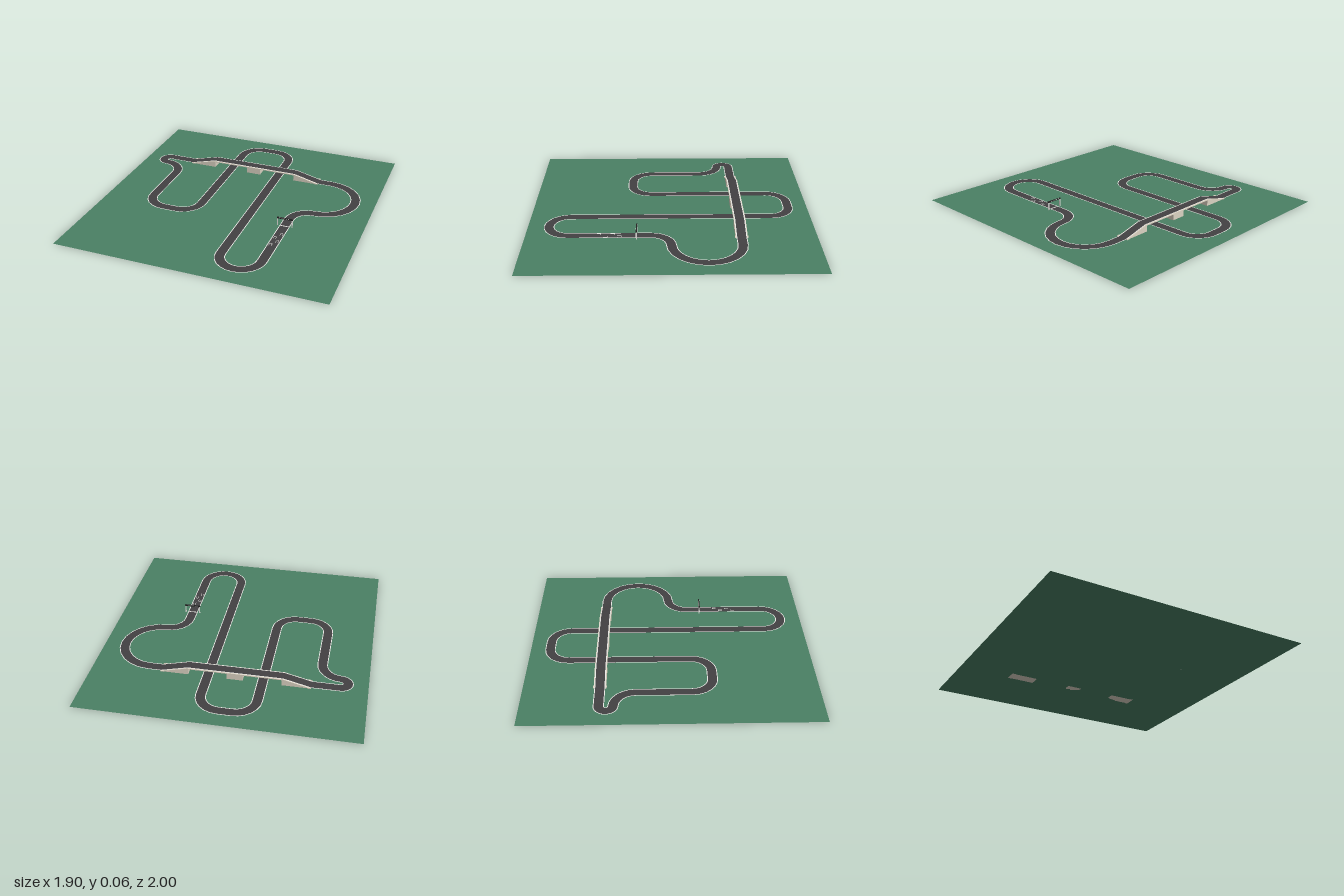
import * as THREE from 'three';

const mat = (color, side = THREE.FrontSide) => new THREE.MeshStandardMaterial({ color, side });
const GREEN = mat(0x4a8064, THREE.DoubleSide);
const ASPHALT = mat(0x434143, THREE.DoubleSide);
const WHITE = mat(0xe8e8e4, THREE.DoubleSide);
const STONE = mat(0xdcd3c3);
const DARK = mat(0x222222);

const HALF = 0.037;          // half road width, edge lines included
const BRIDGE_Z = -0.48;
const ramp = [-0.57, -0.38, 0.28, 0.47];
const DECK = 0.048;

// Centre line: arcs joined by straights, each point with its left-hand normal
function centreLine() {
  const pts = [];
  const arc = (cx, cz, r, from, to) => {
    const n = Math.ceil(Math.abs(to - from) * 12), s = Math.sign(to - from);
    for (let i = 0; i <= n; i++) {
      const a = Math.PI * (from + (to - from) * i / n);
      const c = Math.cos(a), d = Math.sin(a);
      pts.push({ x: cx + r * c, z: cz + r * d, y: 0, nx: s * c, nz: s * d });
    }
  };
  arc(0.2825, 0.71, 0.1425, 0, 1);
  arc(0, -0.72, 0.14, 0, -0.5);
  arc(-0.1, -0.72, 0.14, -0.5, -1);
  arc(-0.38, 0.145, 0.14, 0, 0.5);
  arc(-0.48, 0.145, 0.14, 0.5, 1);
  arc(-0.765, -0.24, 0.145, 0, -0.5);
  arc(-0.765, -0.4325, 0.0475, 0.5, 1.5);
  ramp.forEach((x, i) => pts.push({ x, z: BRIDGE_Z, y: i % 3 ? DECK : 0, nx: 0, nz: -1 }));
  arc(0.565, -0.24, 0.24, -0.5, 0.5);
  arc(0.565, 0.14, 0.14, -0.5, -1);
  pts.push(pts[0]);
  return pts;
}

// Flat strip along the centre line between two sideways offsets
function ribbon(pts, left, right, lift) {
  const pos = [], index = [];
  pts.forEach((p, i) => {
    for (const o of [left, right]) pos.push(p.x + p.nx * o, p.y + lift, p.z + p.nz * o);
    if (i) {
      const a = 2 * i - 2;
      index.push(a, a + 1, a + 3, a, a + 3, a + 2);
    }
  });
  const g = new THREE.BufferGeometry();
  g.setAttribute('position', new THREE.Float32BufferAttribute(pos, 3));
  g.setIndex(index);
  g.computeVertexNormals();
  return g;
}

export function createModel() {
  const model = new THREE.Group();
  model.name = 'raceTrack';
  const add = (name, geometry, material, parent = model) => {
    const m = new THREE.Mesh(geometry, material);
    m.name = name;
    parent.add(m);
    return m;
  };
  const box = (name, w, h, d, x, y, z, material, parent) =>
    add(name, new THREE.BoxGeometry(w, h, d), material, parent).position.set(x, y, z);

  // Grass field
  add('ground', new THREE.PlaneGeometry(1.9, 2).rotateX(-Math.PI / 2), GREEN);

  // Road and its edge lines
  const line = centreLine();
  add('road', ribbon(line, HALF - 0.005, -HALF + 0.005, 0.002), ASPHALT);
  add('leftEdgeLine', ribbon(line, HALF, HALF - 0.006, 0.0025), WHITE);
  add('rightEdgeLine', ribbon(line, -HALF + 0.006, -HALF, 0.0025), WHITE);

  // Bridge: side profile with two ramps, a middle pier and two underpasses
  const profile = [
    [ramp[0], 0], [ramp[1], DECK], [ramp[2], DECK], [ramp[3], 0],
    [0.275, 0], [0.275, 0.042], [0.005, 0.042], [0.005, 0],
    [-0.105, 0], [-0.105, 0.042], [-0.37, 0.042], [-0.37, 0],
  ].map(([x, y]) => new THREE.Vector2(x, y));
  const bridge = new THREE.Group();
  bridge.name = 'bridge';
  model.add(bridge);
  add('bridgeBody', new THREE.ExtrudeGeometry(new THREE.Shape(profile),
    { depth: 0.084, bevelEnabled: false }).translate(0, 0, BRIDGE_Z - 0.042), STONE, bridge);
  // Low end blocks beside the feet of the ramps
  for (const x of [-0.557, 0.457])
    for (const s of [-1, 1])
      box('rampEndBlock', 0.026, 0.006, 0.008, x, 0.003, BRIDGE_Z + s * 0.042, STONE, bridge);

  // Start gate over the road, with a chequered beam
  const gate = new THREE.Group();
  gate.name = 'startGate';
  gate.position.set(0.425, 0, 0.237);
  model.add(gate);
  for (const s of [-1, 1]) box('gatePost', 0.007, 0.056, 0.007, s * 0.053, 0.028, 0, WHITE, gate);
  box('gateBeam', 0.116, 0.009, 0.008, 0, 0.06, 0, DARK, gate);
  for (let i = 0; i < 10; i++)
    box('beamCheck', 0.008, 0.004, 0.009, -0.036 + i * 0.008, i % 2 ? 0.058 : 0.062, 0,
      i % 2 ? DARK : WHITE, gate);
  box('startLine', 0.064, 0.001, 0.008, 0, 0.0025, 0.003, WHITE, gate);

  // Starting grid: staggered brackets open to the rear
  for (let i = 0; i < 4; i++) {
    const slot = new THREE.Group();
    slot.name = 'gridSlot';
    slot.position.set(i % 2 ? 0.41 : 0.441, 0.0025, 0.342 + i * 0.047);
    model.add(slot);
    box('slotFront', 0.02, 0.001, 0.003, 0, 0, 0, WHITE, slot);
    for (const s of [-1, 1]) box('slotSide', 0.003, 0.001, 0.028, s * 0.0085, 0, 0.014, WHITE, slot);
  }
  return model;
}
